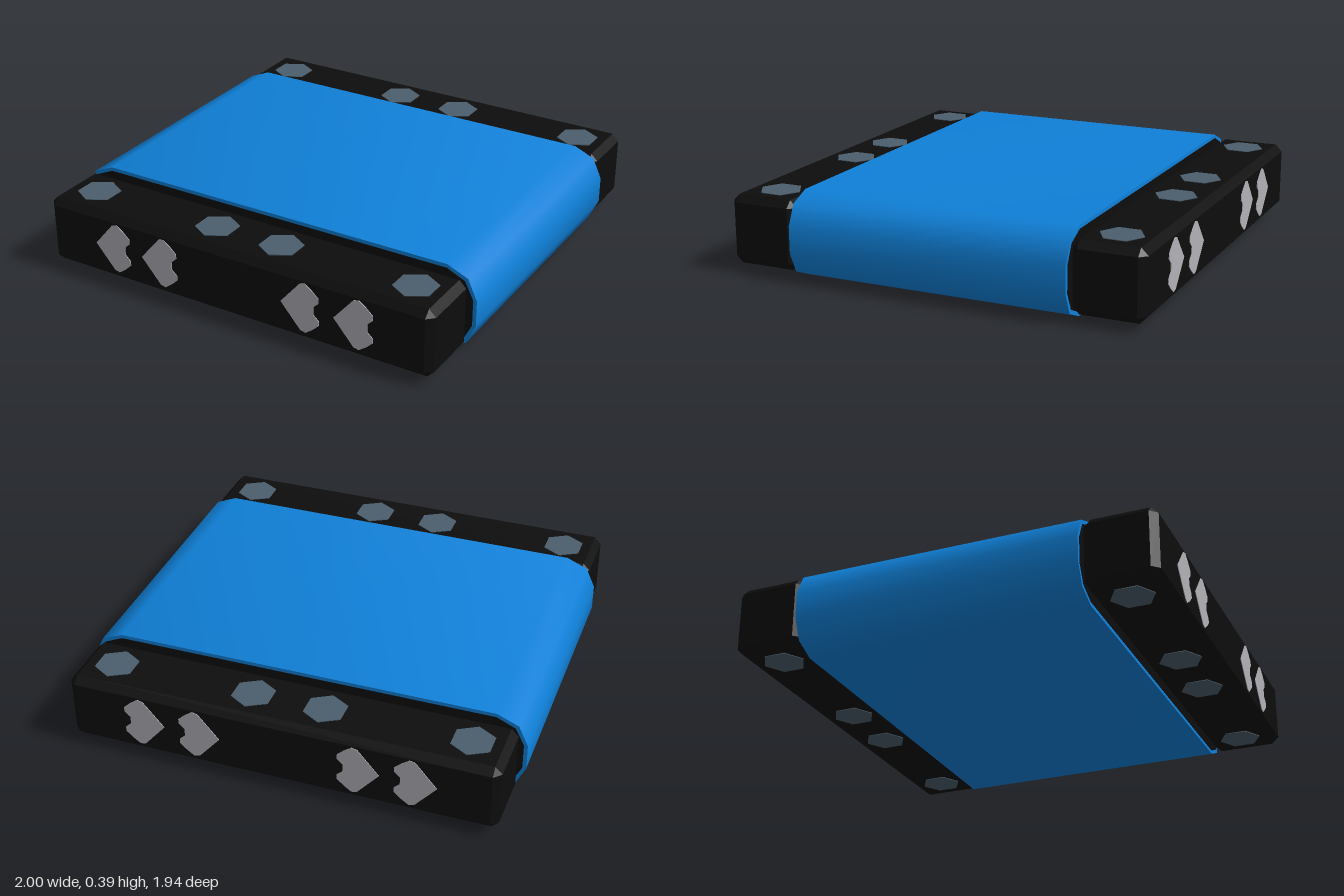
import * as THREE from 'three';
import { toCreasedNormals } from 'three/addons/utils/BufferGeometryUtils.js';
import { ConvexGeometry } from 'three/addons/geometries/ConvexGeometry.js';

const MID_Y = 0.195;

const mat = (name, color) => {
  const m = new THREE.MeshStandardMaterial({ color });
  m.name = name;
  return m;
};

// Long rounded slab outline, centred on the origin and inset by d
function slabPoints(d) {
  const corner = [[1 - d, 0.06], [0.957 - d * 0.8, 0.153 - d * 0.8], [0.86, 0.194 - d]];
  const right = [...corner.map(([x, y]) => [x, -y]).reverse(), ...corner];
  const left = right.map(([x, y]) => [-x, -y]);
  return [...right, ...left].map(([x, y]) => new THREE.Vector2(x, y));
}

// Extrusion centred along z
function extrude(shape, depth) {
  const g = new THREE.ExtrudeGeometry(shape, { depth, bevelEnabled: false, curveSegments: 6 });
  return g.translate(0, 0, -depth / 2);
}

// Box with every edge chamfered by c
function chamferBox(w, h, d, c) {
  const half = [w / 2, h / 2, d / 2];
  const points = [];
  for (let axis = 0; axis < 3; axis++)
    for (let i = 0; i < 8; i++) {
      const p = half.map((s, k) => (s - (k === axis ? 0 : c)) * ((i >> k) & 1 ? 1 : -1));
      points.push(new THREE.Vector3(...p));
    }
  return new ConvexGeometry(points);
}

// Heart lying on its side, point towards -x
function heartShape() {
  const upper = [[0.064, 0.018], [0.09, 0.042], [0.09, 0.064], [0.06, 0.092], [0.025, 0.117], [0, 0.111]];
  const lower = upper.map(([x, y]) => [x, -y]).reverse();
  return new THREE.Shape([...upper, [-0.095, 0], ...lower].map(([x, y]) => new THREE.Vector2(x, y)));
}

export function createModel() {
  const blue = mat('blue sleeve', 0x0f80d8);
  const black = mat('black casing', 0x0d0d0d);
  const slate = mat('slate discs', 0x4b5e6c);
  const silver = mat('silver hearts', 0xb0b0b6);

  const model = new THREE.Group();
  model.name = 'blockModule';
  const add = (name, geometry, material, x, y, z) => {
    const mesh = new THREE.Mesh(geometry, material);
    mesh.name = name;
    mesh.position.set(x, y, z);
    model.add(mesh);
    return mesh;
  };

  // Blue sleeve around a black core
  const sleeve = new THREE.Shape(slabPoints(0));
  sleeve.holes.push(new THREE.Path(slabPoints(0.017).reverse()));
  add('sleeve', toCreasedNormals(extrude(sleeve, 1.29), 0.9), blue, 0, MID_Y, 0);
  add('core', extrude(new THREE.Shape(slabPoints(0.017)), 1.294), black, 0, MID_Y, 0);

  const endBar = chamferBox(1.93, 0.316, 0.322, 0.032);
  const disc = new THREE.CylinderGeometry(0.097, 0.097, 0.006, 6);
  const heart = extrude(heartShape(), 0.006);

  for (const side of [1, -1]) {
    const end = side > 0 ? 'front' : 'back';
    add(end + 'Bar', endBar, black, 0, MID_Y, side * 0.806);

    // Hexagonal discs on the top and underside of each bar
    for (const x of [-0.805, -0.163, 0.163, 0.805])
      for (const up of [1, -1])
        add(end + (up > 0 ? 'TopDisc' : 'BottomDisc'), disc, slate, x, MID_Y + up * 0.158, side * 0.806);

    // Hearts on the outer face
    for (const x of [-0.61, -0.36, 0.355, 0.61])
      add(end + 'Heart', heart, silver, x, MID_Y + 0.003, side * 0.967);
  }
  return model;
}
